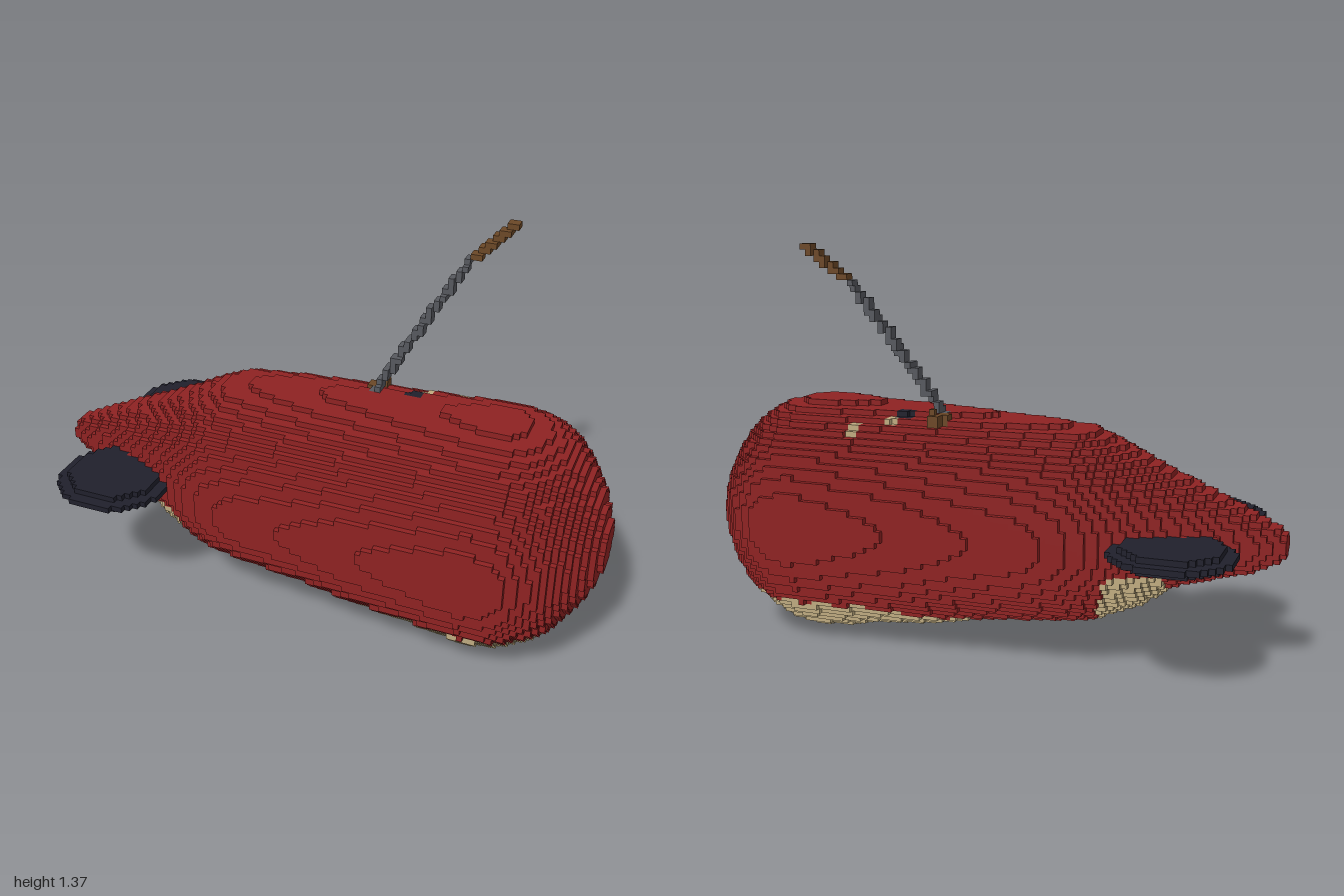
import * as THREE from 'three';

const S = 0.0196; // edge of one small cube
const key = (i, j, k) => `${i},${j},${k}`;

// Body stations: x, top y, bottom y, half width
const STATIONS = [
  [-1.0, 0.47, 0.39, 0.04], [-0.9, 0.52, 0.34, 0.085], [-0.8, 0.565, 0.315, 0.12],
  [-0.64, 0.635, 0.27, 0.185], [-0.55, 0.675, 0.2, 0.225], [-0.4, 0.745, 0.14, 0.3],
  [-0.33, 0.77, 0.125, 0.325], [-0.2, 0.78, 0.112, 0.345], [0, 0.795, 0.09, 0.355],
  [0.2, 0.803, 0.05, 0.37], [0.4, 0.813, 0.03, 0.38], [0.52, 0.82, 0.004, 0.386],
  [0.6, 0.826, 0.0, 0.391], [0.68, 0.82, 0.004, 0.386], [0.74, 0.808, 0.035, 0.375],
  [0.8, 0.785, 0.07, 0.345], [0.85, 0.75, 0.11, 0.31], [0.9, 0.69, 0.17, 0.255],
  [0.95, 0.61, 0.25, 0.18], [0.98, 0.54, 0.32, 0.11], [1.0, 0.48, 0.38, 0.05],
];

function station(x) {
  let n = 1;
  while (n < STATIONS.length - 1 && STATIONS[n][0] < x) n++;
  const a = STATIONS[n - 1], b = STATIONS[n];
  const t = THREE.MathUtils.clamp((x - a[0]) / (b[0] - a[0]), 0, 1);
  return [1, 2, 3].map((c) => a[c] + (b[c] - a[c]) * t);
}

// Which part a body cube belongs to
function bodyPart(x, y, z) {
  const jag = 0.009 * Math.sin(x * 47 + Math.abs(z) * 31);
  if (x > 0 && x < 0.84 && y < Math.min(0.1 + 0.11 * x, 0.15) + jag) return 'bellyPatch';
  const rear = x < -0.47 ? 0.33 : 0.33 - (x + 0.47) * 2.4;
  if (x > -0.625 && x < -0.4 && y < rear) return 'rearBellyPatch';
  return 'body';
}

// Outward quads of a unit cube, corners counter-clockwise
const SIDES = [];
for (let axis = 0; axis < 3; axis++) {
  for (const sign of [1, -1]) {
    const u = (axis + 1) % 3, v = (axis + 2) % 3;
    const ring = [[-0.5, -0.5], [0.5, -0.5], [0.5, 0.5], [-0.5, 0.5]];
    if (sign < 0) ring.reverse();
    const normal = [0, 0, 0];
    normal[axis] = sign;
    const corners = ring.map(([p, q]) => {
      const c = [0, 0, 0];
      c[axis] = sign / 2; c[u] = p; c[v] = q;
      return c;
    });
    SIDES.push({ normal, corners });
  }
}

export function createModel() {
  const colours = { red: 0x8e2222, cream: 0xbfab80, navy: 0x20202c, steel: 0x56585e, wood: 0x6b4726 };
  const mats = {};
  for (const name in colours) {
    mats[name] = new THREE.MeshStandardMaterial({ color: colours[name] });
    mats[name].name = name;
  }
  const partColour = {
    body: 'red', bellyPatch: 'cream', rearBellyPatch: 'cream', leftFluke: 'navy', rightFluke: 'navy',
    spearShaft: 'steel', spearHandle: 'wood', woodChip: 'wood', backSpots: 'cream', blowhole: 'navy',
  };
  const cells = new Map();
  const put = (i, j, k, part) => cells.set(key(i, j, k), { c: [i, j, k], part });

  // Tail flukes: thin discs with a raised middle on both faces
  for (const side of [1, -1]) {
    for (let i = -52; i < -20; i++) for (let k = -26; k <= 26; k++) {
      const d = Math.hypot(((i + 0.5) * S + 0.685) / 0.2, (k * S - side * 0.27) / 0.195);
      if (d > 1) continue;
      const name = side > 0 ? 'leftFluke' : 'rightFluke';
      put(i, 22, k, name);
      if (d < 0.82) { put(i, 21, k, name); put(i, 23, k, name); }
    }
  }

  // Body: an oval slice for every column of cubes
  for (let i = -51; i < 51; i++) {
    const x = (i + 0.5) * S;
    const [top, bottom, width] = station(x);
    for (let j = 0; j < 43; j++) for (let k = -21; k <= 21; k++) {
      const y = (j + 0.5) * S, z = k * S, dy = y - 0.43;
      const ry = dy > 0 ? top - 0.43 : 0.43 - bottom;
      if ((dy / ry) ** 2 + (z / width) ** 2 <= 1) put(i, j, k, bodyPart(x, y, z));
    }
  }

  // Small marks on the back, set on the uppermost cube of each column
  const mark = (x0, x1, z0, z1, part, raise) => {
    for (let i = Math.round(x0 / S); i < Math.round(x1 / S); i++) {
      for (let k = Math.round(z0 / S); k < Math.round(z1 / S); k++) {
        let j = 45;
        while (j > 0 && !cells.has(key(i, j, k))) j--;
        for (let r = 0; r <= raise; r++) put(i, j + r, k, part);
      }
    }
  };
  mark(0.3, 0.34, -0.16, -0.1, 'backSpots', 0);
  mark(0.41, 0.46, -0.21, -0.15, 'backSpots', 0);
  mark(0.25, 0.31, -0.12, -0.05, 'blowhole', 0);
  mark(0.12, 0.15, -0.11, -0.07, 'woodChip', 1);
  mark(0.14, 0.17, -0.15, -0.11, 'woodChip', 2);

  // Spear: a stepped line two cubes deep
  const line = (a, b, part) => {
    for (let n = 0; n <= 80; n++) {
      const [x, y, z] = a.map((v, c) => v + (b[c] - v) * n / 80);
      const i = Math.floor(x / S), j = Math.floor(y / S), k = Math.round(z / S);
      put(i, j, k, part);
      put(i, j, k - 1, part);
    }
  };
  line([0.14, 0.78, -0.055], [0.41, 1.25, -0.23], 'spearShaft');
  line([0.415, 1.255, -0.235], [0.53, 1.36, -0.29], 'spearHandle');

  // Keep only the exposed cube faces, gathered per part
  const points = {};
  for (const { c: [i, j, k], part } of cells.values()) {
    const list = (points[part] ??= []);
    for (const { normal, corners } of SIDES) {
      if (cells.has(key(i + normal[0], j + normal[1], k + normal[2]))) continue;
      for (const n of [0, 1, 2, 0, 2, 3]) {
        const c = corners[n];
        list.push((i + 0.5 + c[0]) * S, (j + 0.5 + c[1]) * S, (k + c[2]) * S);
      }
    }
  }
  const group = new THREE.Group();
  group.name = 'whale';
  for (const part in points) {
    const geo = new THREE.BufferGeometry();
    geo.setAttribute('position', new THREE.Float32BufferAttribute(points[part], 3));
    geo.computeVertexNormals();
    const mesh = new THREE.Mesh(geo, mats[partColour[part]]);
    mesh.name = part;
    group.add(mesh);
  }
  return group;
}
